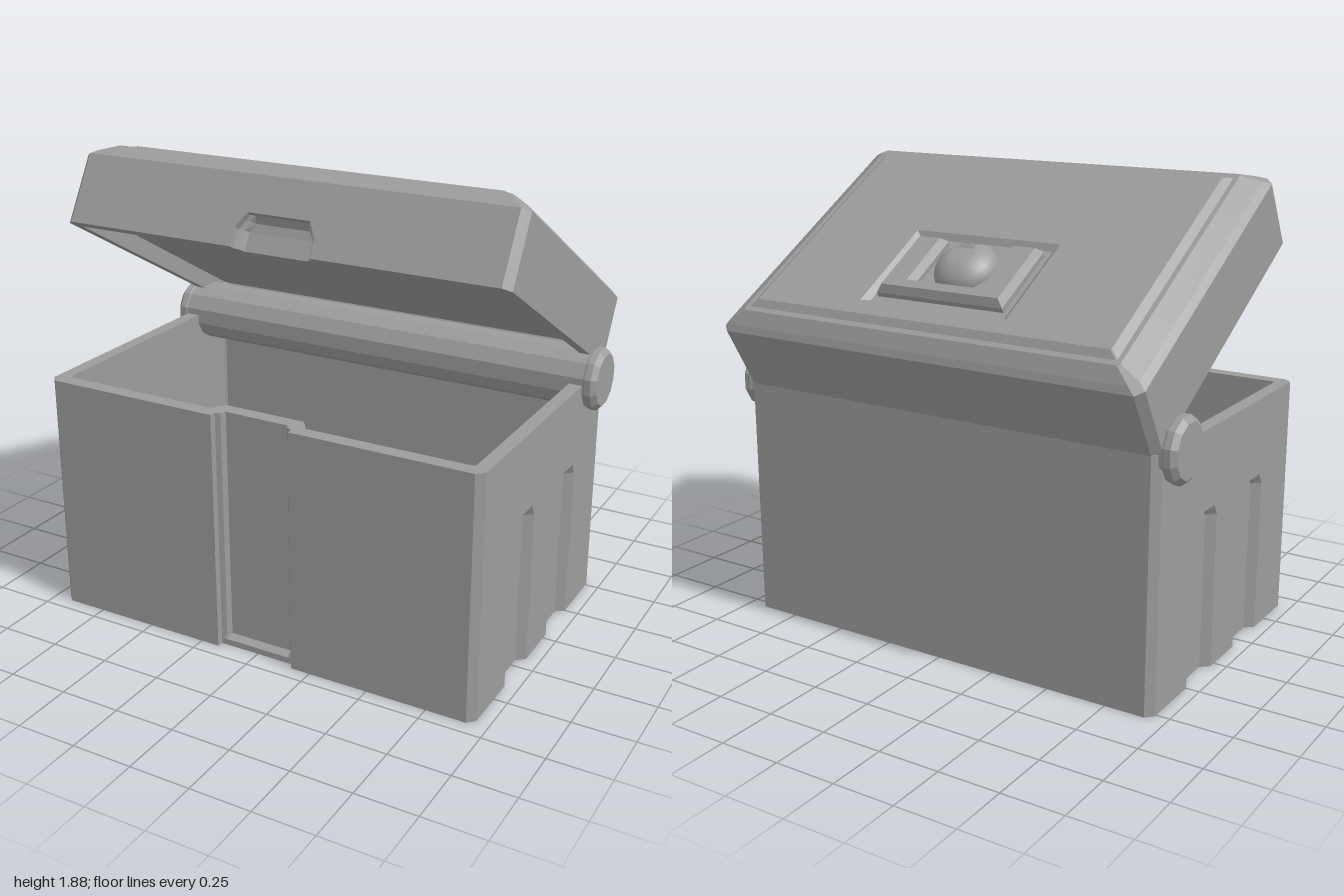
import * as THREE from 'three';
import { toCreasedNormals } from 'three/addons/utils/BufferGeometryUtils.js';

const FRONT = 0.69, BACK = -0.54, HALF = 0.945;

function material(flat = true) {
  return new THREE.MeshStandardMaterial({ color: 0x9c9c9c, flatShading: flat, side: THREE.DoubleSide });
}

function part(name, geometry, flat = true) {
  const mesh = new THREE.Mesh(geometry, material(flat));
  mesh.name = name;
  return mesh;
}

// Horizontal outline at height y: chamfered rectangle with optional side flutes and front channel.
// flute: [depth, outer half width, inner half width]; channel: four [x, z] points, outside to inside.
function ring(y, { hx = HALF, zf = FRONT, zb = BACK, c = 0.03, flute = [0, 0.085, 0.06], channel }) {
  const [depth, outer, inner] = flute;
  const clampZ = (z) => Math.min(zf - c, Math.max(zb + c, z));
  const front = channel || [[0.135, zf], [0.13, zf], [0.12, zf], [0.11, zf]];
  const half = [...front].reverse();
  half.push([hx - c, zf], [hx, zf - c]);
  for (const z of [0.29, -0.14]) {
    half.push([hx, clampZ(z + outer)], [hx - depth, clampZ(z + inner)],
      [hx - depth, clampZ(z - inner)], [hx, clampZ(z - outer)]);
  }
  half.push([hx, zb + c], [hx - c, zb]);
  const mirrored = half.map(([x, z]) => [-x, z]).reverse();
  return [...half, ...mirrored].map(([x, z]) => new THREE.Vector3(x, y, z));
}

// Skin a stack of matching outlines, with optional flat caps.
function loft(rings, capStart, capEnd) {
  const pos = [];
  const tri = (a, b, c) => {
    const area = b.clone().sub(a).cross(c.clone().sub(a)).length();
    if (area > 1e-8) for (const p of [a, b, c]) pos.push(p.x, p.y, p.z);
  };
  const cap = (r, up) => {
    const contour = r.map((p) => new THREE.Vector2(p.x, -p.z));
    for (const [a, b, c] of THREE.ShapeUtils.triangulateShape(contour, [])) {
      if (up) tri(r[a], r[b], r[c]);
      else tri(r[a], r[c], r[b]);
    }
  };
  for (let k = 0; k + 1 < rings.length; k++) {
    const lo = rings[k], hi = rings[k + 1];
    for (let j = 0; j < lo.length; j++) {
      const n = (j + 1) % lo.length;
      tri(lo[j], lo[n], hi[n]);
      tri(lo[j], hi[n], hi[j]);
    }
  }
  if (capStart) cap(rings[0], false);
  if (capEnd) cap(rings[rings.length - 1], true);
  const geometry = new THREE.BufferGeometry();
  geometry.setAttribute('position', new THREE.Float32BufferAttribute(pos, 3));
  geometry.computeVertexNormals();
  return geometry;
}

// Stepped channel: a shallow frame around a deeper panel
const CHANNEL = [[0.17, FRONT], [0.168, 0.664], [0.147, 0.657], [0.137, 0.635]];
const SILL = [[0.17, FRONT], [0.168, 0.664], [0.147, 0.664], [0.137, 0.664]];
const INNER = { hx: 0.89, zf: 0.63, zb: -0.485, c: 0.01 };
const INNER_BULGE = { ...INNER, channel: [[0.21, 0.63], [0.2, 0.615], [0.19, 0.6], [0.17, 0.575]] };

function buildBox() {
  const box = new THREE.Group();
  box.name = 'box';
  const full = [0.035, 0.11, 0.08];
  box.add(part('boxWalls', loft([
    ring(0, { flute: full, channel: SILL }),
    ring(0.025, { flute: full, channel: SILL }),
    ring(0.04, { flute: full, channel: CHANNEL }),
    ring(0.635, { flute: full, channel: CHANNEL }),
    ring(0.655, { flute: [0.035, 0.1, 0.065], channel: CHANNEL }),
    ring(0.68, { channel: CHANNEL }),
    ring(1, { channel: CHANNEL }),
    ring(1, INNER_BULGE),
    ring(0.08, INNER_BULGE),
  ], false, true)));
  box.add(part('boxUnderside', loft([ring(0.07, { flute: full, channel: CHANNEL })], true, false)));
  return box;
}

function buildLid() {
  const lid = new THREE.Group();
  lid.name = 'lid';
  const shift = new THREE.Group();
  shift.name = 'lidParts';
  shift.position.z = -BACK;
  lid.add(shift);

  // Shallow underside, finger notch, bevelled top, raised panel and sunken emblem field
  const inset = (x, z, c) => ({ hx: HALF - x, zf: FRONT - z, zb: BACK + z, c });
  const field = (s) => ({ hx: 0.33 - s, zf: 0.09 - s, zb: -0.35 + s, c: 0.002 });
  const rim = { ...INNER_BULGE, hx: 0.9 };
  shift.add(part('lidShell', loft([
    ring(0.07, rim),
    ring(0, rim),
    ring(0, { channel: CHANNEL }),
    ring(0.075, { channel: CHANNEL }),
    ring(0.11, { channel: [[0.15, FRONT], [0.148, 0.664], [0.13, 0.657], [0.115, 0.64]] }),
    ring(0.134, { channel: [[0.135, FRONT], [0.133, 0.666], [0.12, 0.664], [0.11, 0.664]] }),
    ring(0.137, {}),
    ring(0.285, {}),
    ring(0.308, inset(0.025, 0.02, 0.03)),
    ring(0.35, inset(0.1, 0.068, 0.01)),
    ring(0.35, inset(0.12, 0.092, 0.005)),
    ring(0.37, inset(0.15, 0.12, 0.005)),
    ring(0.37, field(0)),
    ring(0.35, field(0.025)),
  ], true, true)));

  // U-shaped surround of the emblem
  const u = new THREE.Shape([
    [-0.265, -0.02], [-0.17, -0.02], [-0.17, 0.235], [0.17, 0.235],
    [0.17, -0.02], [0.265, -0.02], [0.265, 0.275], [-0.265, 0.275],
  ].map(([x, y]) => new THREE.Vector2(x, y)));
  const surround = new THREE.ExtrudeGeometry(u, {
    depth: 0.02, bevelEnabled: true, bevelSize: 0.02, bevelThickness: 0.03, bevelSegments: 1,
  });
  surround.rotateX(-Math.PI / 2).translate(0, 0.35, 0);
  shift.add(part('emblemSurround', surround));

  // Dome with a slot cut in from its front
  const s = 0.035, rings = [];
  for (let k = 0; k <= 6; k++) {
    const a = (k / 6) * Math.acos(0.055 / 0.13);
    const r = 0.13 * Math.cos(a), y = 0.345 + 0.088 * Math.sin(a);
    const start = Math.asin(s / r), loop = [new THREE.Vector3(s, y, s)];
    for (let j = 0; j <= 28; j++) {
      const t = start + (j / 28) * (2 * Math.PI - 2 * start);
      loop.push(new THREE.Vector3(r * Math.sin(t), y, r * Math.cos(t)));
    }
    loop.push(new THREE.Vector3(-s, y, s));
    rings.push(loop);
  }
  const dome = part('emblemDome', toCreasedNormals(loft(rings, false, true), 0.7), false);
  dome.position.z = -0.085;
  shift.add(dome);

  // Swung open about the rear edge
  lid.position.set(0, 1, BACK);
  lid.rotation.x = -Math.PI / 6;
  return lid;
}

function buildHinge() {
  // Twelve-sided bar with bevelled end knobs
  const end = [[0.001, 1], [0.108, 1], [0.129, 0.98], [0.129, 0.955], [0.125, 0.945]];
  const profile = [...end.map(([r, y]) => [r, -y]), ...[...end].reverse()]
    .map(([r, y]) => new THREE.Vector2(r, y));
  const geometry = new THREE.LatheGeometry(profile, 12, Math.PI / 12);
  geometry.rotateZ(Math.PI / 2);
  const hinge = part('hingeBar', geometry);
  hinge.position.set(0, 0.995, -0.4);
  return hinge;
}

export function createModel() {
  const model = new THREE.Group();
  model.name = 'openChest';
  model.add(buildBox(), buildLid(), buildHinge());
  return model;
}
